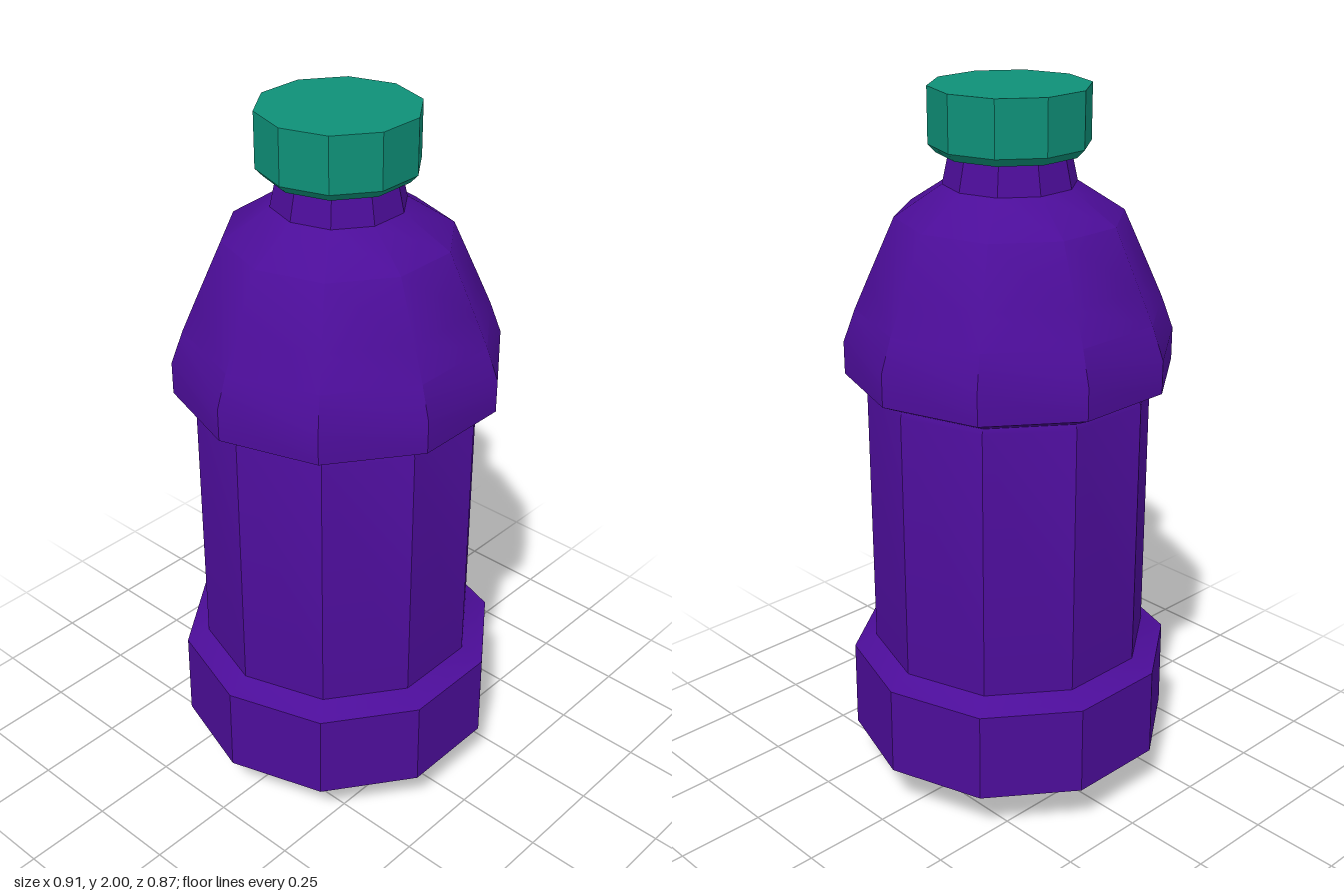
import * as THREE from 'three';
import { toCreasedNormals } from 'three/addons/utils/BufferGeometryUtils.js';

const SIDES = 10;
const CREASE = 0.58;

// Ten-sided turned shape with a corner on the x axis
function turned(profile) {
  const points = profile.map(([r, y]) => new THREE.Vector2(r, y));
  return new THREE.LatheGeometry(points, SIDES, Math.PI / 2);
}

function addPart(group, name, geometry, color) {
  const material = new THREE.MeshStandardMaterial({ color });
  const mesh = new THREE.Mesh(toCreasedNormals(geometry, CREASE), material);
  mesh.name = name;
  group.add(mesh);
}

export function createModel() {
  const group = new THREE.Group();
  group.name = 'bottle';

  // Bottle body, from the hollow under the base up to the neck
  const profile = [
    [0, 0.14], [0.15, 0.12], [0.28, 0.04],           // hollow and foot ring
    [0.455, 0.145], [0.453, 0.4], [0.43, 0.41],      // base
    [0.39, 0.432], [0.39, 1.195],                    // straight grip
    [0.385, 1.21], [0.448, 1.24], [0.448, 1.33],     // groove and shoulder band
    [0.415, 1.42], [0.375, 1.51], [0.305, 1.665],    // dome
    [0.178, 1.748], [0.158, 1.84], [0, 1.84],        // neck
  ];
  const body = turned(profile);

  // Shape the foot ring: five feet alternate with five raised gaps
  const position = body.attributes.position;
  const footHeight = { 1: 0.01, 3: 0.005, 5: 0, '-5': 0, '-3': 0.03, '-1': 0.045 };
  const shift = 0.028;
  for (let i = 0; i < position.count; i++) {
    const ring = i % profile.length;
    if (ring > 2) continue;
    const x = position.getX(i);
    const z = position.getZ(i);
    if (ring < 2) {
      position.setX(i, x + shift);
      continue;
    }
    const angle = Math.atan2(z, x);
    const corner = Math.round(angle / (Math.PI / 5));
    const isFoot = corner % 2 !== 0;
    const r = isFoot ? 0.293 : 0.27;
    const y = isFoot ? footHeight[corner] : 0.07;
    position.setXYZ(i, r * Math.cos(angle) + shift, y, r * Math.sin(angle));
  }
  addPart(group, 'bottleBody', body, 0x4c0d99);

  // Screw cap with a small bevel at its lower rim
  const cap = turned([[0, 1.83], [0.192, 1.83], [0.213, 1.852], [0.213, 2], [0, 2]]);
  addPart(group, 'cap', cap, 0x0e9078);

  return group;
}
